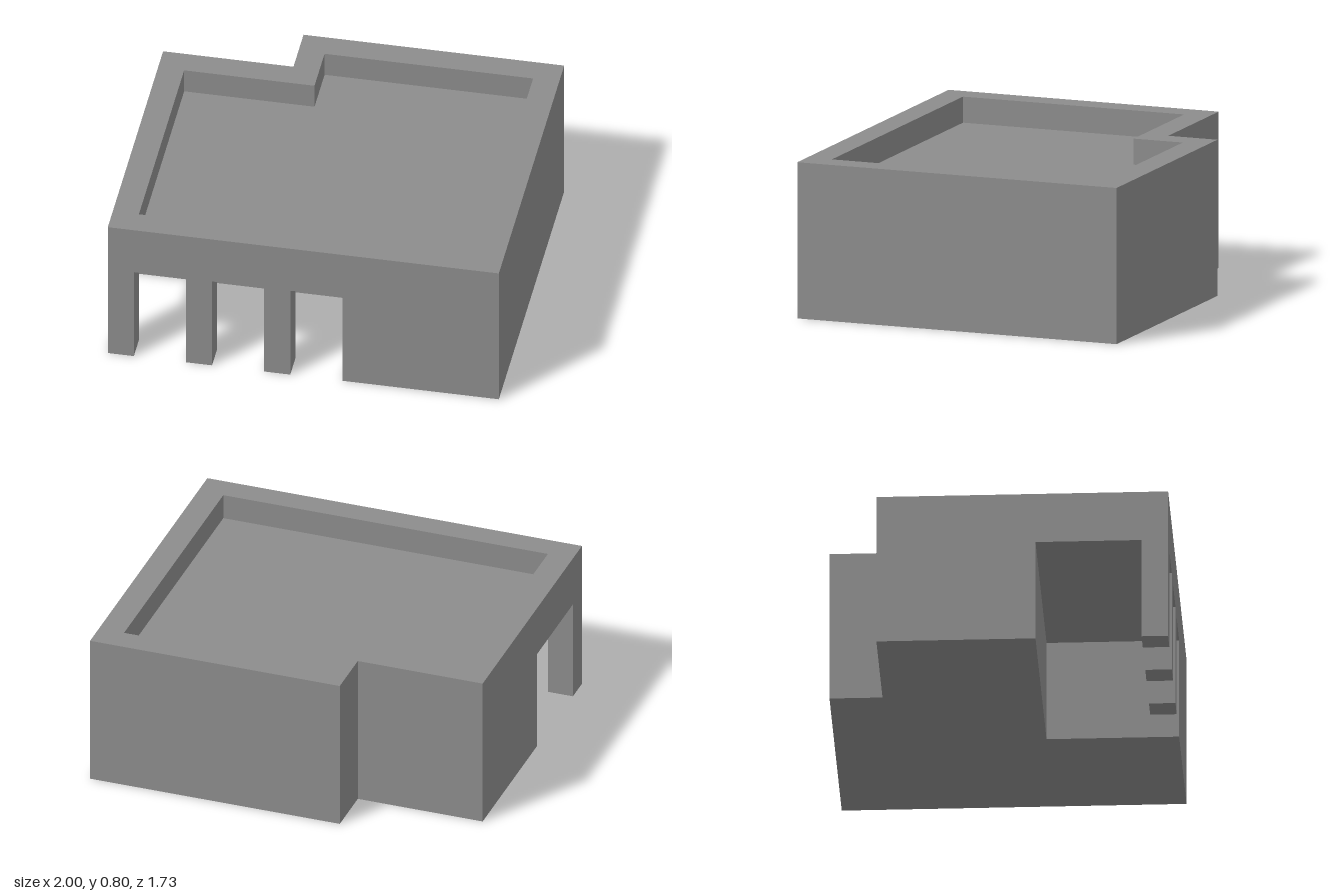
import * as THREE from 'three';

const U = 2 / 15; // wall thickness, the grid the whole building sits on
const CEILING = 4 * U, ROOF = 5 * U, TOP = 6 * U;
const FRONT = 6.5 * U;

const concrete = new THREE.MeshStandardMaterial({ color: 0x8c8c8c });
concrete.name = 'concrete grey';

// Plan outlines are [x, z] pairs; the extrusion rises along y
const toPoints = (plan) => plan.map(([x, z]) => new THREE.Vector2(x, -z));

function extrudePlan(name, plan, bottom, top, hole) {
  const shape = new THREE.Shape(toPoints(plan));
  if (hole) shape.holes.push(new THREE.Path(toPoints(hole)));
  const geometry = new THREE.ExtrudeGeometry(shape, { depth: top - bottom, bevelEnabled: false });
  geometry.rotateX(-Math.PI / 2).translate(0, bottom, 0);
  const mesh = new THREE.Mesh(geometry, concrete);
  mesh.name = name;
  return mesh;
}

// Building footprint with the notched back corner, optionally inset
const footprint = (inset) => [
  [-1 + inset, FRONT - inset],
  [1 - inset, FRONT - inset],
  [1 - inset, -FRONT + inset],
  [-2.5 * U + inset, -FRONT + inset],
  [-2.5 * U + inset, -4.5 * U + inset],
  [-1 + inset, -4.5 * U + inset],
];

export function createModel() {
  const group = new THREE.Group();
  group.name = 'building';

  // Ground floor, cut away at the front corner for the porch
  const outer = footprint(0);
  const porchCorner = 1.5 * U;
  const groundPlan = [
    [-1, porchCorner], [porchCorner, porchCorner], [porchCorner, FRONT],
    ...outer.slice(1),
  ];
  group.add(extrudePlan('groundFloor', groundPlan, 0, CEILING));

  // Upper wall band and parapet around the sunken flat roof
  const inner = footprint(U);
  group.add(extrudePlan('parapet', outer, CEILING, TOP, inner));
  group.add(extrudePlan('flatRoof', inner, CEILING, ROOF));

  // Porch pillars along the front
  for (let i = 0; i < 3; i++) {
    const pillar = new THREE.Mesh(new THREE.BoxGeometry(U, CEILING, U), concrete);
    pillar.name = `porchPillar${i + 1}`;
    pillar.position.set(-1 + U / 2 + i * 3 * U, CEILING / 2, FRONT - U / 2);
    group.add(pillar);
  }
  return group;
}
